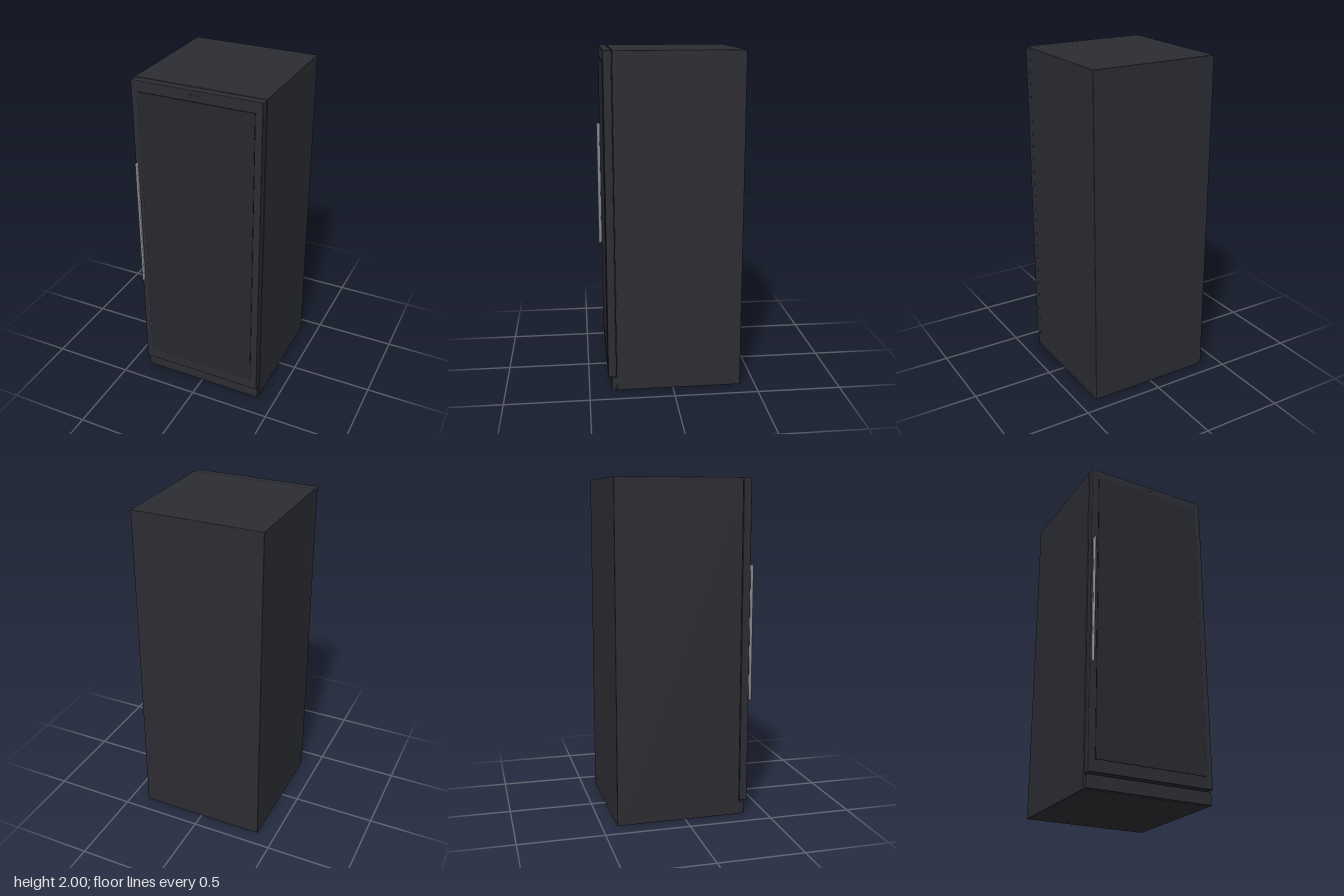
import * as THREE from 'three';
import { RoundedBoxGeometry } from 'three/addons/geometries/RoundedBoxGeometry.js';

const mat = (name, color) => {
  const m = new THREE.MeshStandardMaterial({ color });
  m.name = name;
  return m;
};

export function createModel() {
  const group = new THREE.Group();
  const charcoal = mat('charcoal', 0x2b2c32);
  const glass = mat('dark glass', 0x27282e);
  const seam = mat('black seam', 0x101012);
  const steel = mat('steel', 0x85868a);

  // Block given by its minimum and maximum corners, with softened edges if r > 0
  const block = (name, material, [x0, y0, z0], [x1, y1, z1], r = 0) => {
    const size = [x1 - x0, y1 - y0, z1 - z0];
    const geo = r ? new RoundedBoxGeometry(...size, 3, r) : new THREE.BoxGeometry(...size);
    const mesh = new THREE.Mesh(geo, material);
    mesh.position.set((x0 + x1) / 2, (y0 + y1) / 2, (z0 + z1) / 2);
    mesh.name = name;
    group.add(mesh);
  };

  // Cabinet, plinth and the recessed gasket behind the door
  block('cabinet', charcoal, [-0.39, 0, -0.41], [0.39, 2, 0.337], 0.003);
  block('kickPlate', charcoal, [-0.388, 0.001, 0.33], [0.388, 0.078, 0.368], 0.003);
  block('doorGasket', seam, [-0.382, 0.09, 0.33], [0.382, 1.992, 0.345]);

  // Door frame with its glass pane and a fine dark border
  block('door', charcoal, [-0.388, 0.084, 0.34], [0.388, 1.999, 0.388], 0.004);
  block('paneBorder', seam, [-0.348, 0.153, 0.385], [0.348, 1.938, 0.3885]);
  block('glassPane', glass, [-0.345, 0.156, 0.385], [0.345, 1.935, 0.391]);

  // Small control marks on the top rail
  for (const x of [-0.035, -0.017, 0.011, 0.029]) {
    block('controlMark', seam, [x - 0.004, 1.97, 0.386], [x + 0.004, 1.975, 0.389]);
  }

  // Slim upright handle
  block('handle', steel, [-0.381, 0.7, 0.387], [-0.367, 1.505, 0.41], 0.006);

  return group;
}
